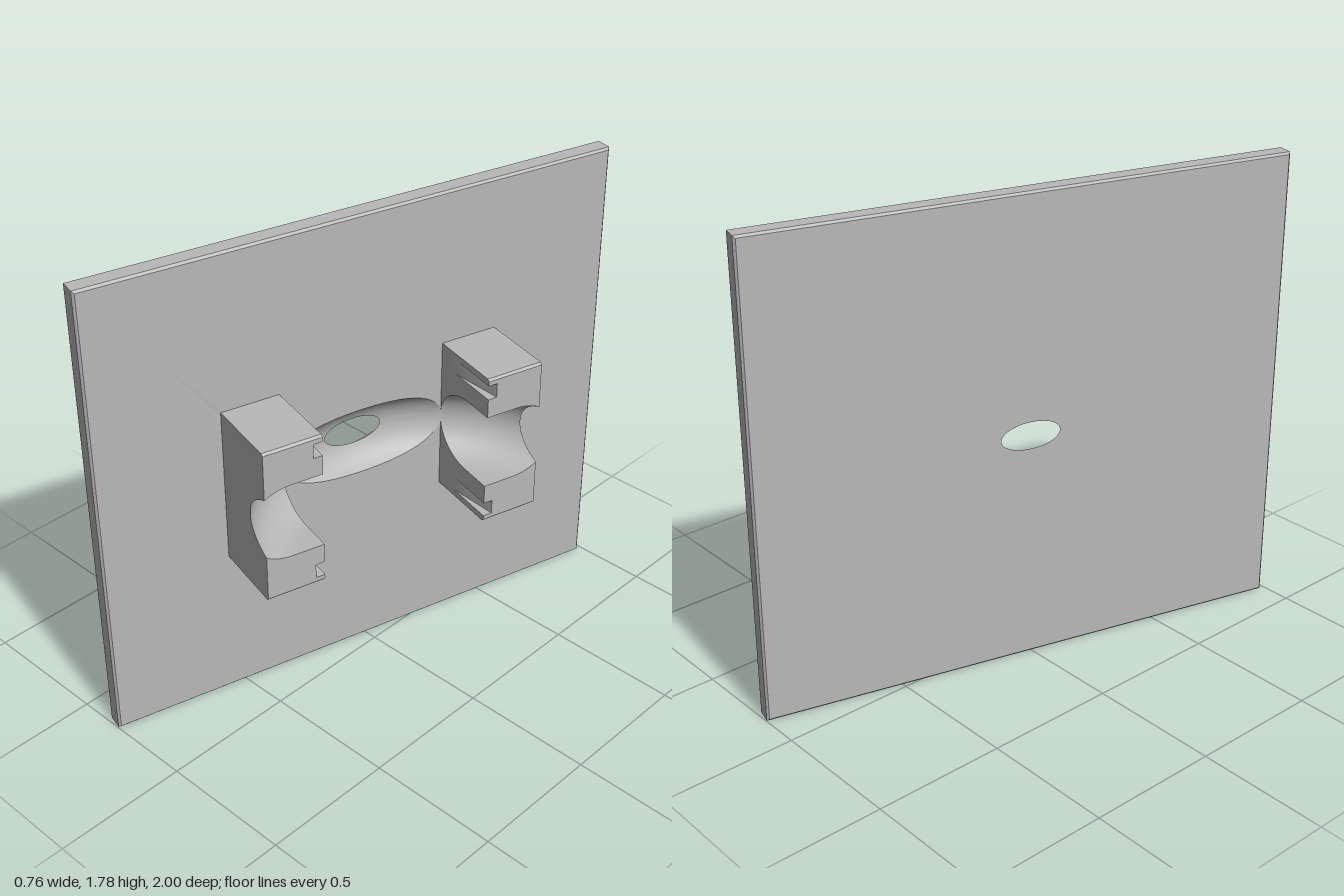
import * as THREE from 'three';
import { toCreasedNormals } from 'three/addons/utils/BufferGeometryUtils.js';

// Local frame: x = out of the plate, y = up, z = along the plate
const LENGTH = 2.05, HEIGHT = 1.78, HALF = 0.0375;  // plate
const TOP = 0.331, INNER = 0.33, OUTER = 0.553;     // clamp blocks
const R = 0.555, r = 0.145, S = R + r;              // round-rimmed wheel that shapes the channel
const AXIS = S - HALF - 0.0095;                     // wheel axis height above the plate centre

// Half width of the channel at height x and distance z
function halfWidth(x, z) {
  const d = Math.hypot(z, AXIS - x) - R;
  return d <= 0 ? r : Math.sqrt(Math.max(0, r * r - d * d));
}

const push = (out, ...points) => points.forEach((p) => out.push(p[0], p[1], p[2]));

// Quads between successive closed rings
function skin(out, rings) {
  for (let i = 0; i + 1 < rings.length; i++) {
    const n = rings[i].length;
    for (let j = 0; j < n; j++) {
      const k = (j + 1) % n;
      const a = rings[i][j], b = rings[i][k], c = rings[i + 1][k], d = rings[i + 1][j];
      push(out, a, b, c, a, c, d);
    }
  }
}

// Flat face filling a ring, with optional holes; u and v are the axes of its plane
function cap(out, ring, holes, u, v, flip) {
  const flat = (pts) => pts.map((p) => new THREE.Vector2(p[u], p[v]));
  const all = [ring, ...holes].flat();
  for (const [a, b, c] of THREE.ShapeUtils.triangulateShape(flat(ring), holes.map(flat))) {
    if (flip) push(out, all[a], all[c], all[b]);
    else push(out, all[a], all[b], all[c]);
  }
}

function toGeometry(out) {
  const g = new THREE.BufferGeometry();
  g.setAttribute('position', new THREE.Float32BufferAttribute(out, 3));
  return toCreasedNormals(g, 0.5);
}

// Plate with eased edges and a scooped hollow that breaks through the back
function plateGeometry() {
  const out = [], bevel = 0.008;
  const rect = (x, inset) => {
    const h = HEIGHT / 2 - inset, l = LENGTH / 2 - inset;
    return [[x, -h, -l], [x, h, -l], [x, h, l], [x, -h, l]];
  };
  const rim = [rect(-HALF, bevel), rect(-HALF + bevel, 0), rect(HALF - bevel, 0), rect(HALF, bevel)];
  skin(out, rim);

  const scoop = (x) => {
    const reach = Math.sqrt(S * S - (AXIS - x) ** 2);
    return Array.from({ length: 72 }, (_, i) => {
      const a = (i / 72) * Math.PI * 2, z = reach * Math.sin(a);
      return [x, Math.sign(Math.cos(a)) * halfWidth(x, z), z];
    });
  };
  const floor = AXIS - S, levels = 12;
  const s0 = Math.sqrt(HALF - floor), s1 = Math.sqrt(-HALF - floor);
  const rings = [];
  for (let i = 0; i <= levels; i++) {
    rings.push(scoop(floor + (s0 + ((s1 - s0) * i) / levels) ** 2));
  }
  skin(out, rings);
  cap(out, rim[3], [rings[0]], 1, 2, false);
  cap(out, rim[0], [rings[levels]], 1, 2, true);
  return toGeometry(out);
}

// Block with the curved channel and two wedge slots in its inner end
function blockGeometry() {
  const out = [], base = 0.03, h = 0.3, c = 0.008, steps = 14;
  const slotDepth = 0.035, slotFoot = 0.135;
  const section = (z) => {
    const slot = Math.min(TOP, slotFoot + ((TOP - slotFoot) * (z - INNER)) / slotDepth);
    const bottom = AXIS - Math.sqrt(S * S - z * z);
    const half = [[base, -h, z], [TOP - c, -h, z], [TOP, c - h, z],
      [TOP, -0.275, z], [slot, -0.275, z], [slot, -0.22, z], [TOP, -0.22, z]];
    for (let k = 0; k < steps; k++) {
      const x = bottom + (TOP - bottom) * (1 - Math.sin((k / steps) * Math.PI / 2));
      half.push([x, -halfWidth(x, z), z]);
    }
    const mirrored = half.map(([x, y]) => [x, -y, z]).reverse();
    return [...half, [bottom, 0, z], ...mirrored];
  };
  const stations = [INNER, INNER + slotDepth / 2];
  for (let i = 0; i <= 14; i++) {
    stations.push(INNER + slotDepth + ((OUTER - INNER - slotDepth) * i) / 14);
  }
  const rings = stations.map(section);
  skin(out, rings);
  cap(out, rings[0], [], 0, 1, true);
  cap(out, rings[rings.length - 1], [], 0, 1, false);
  return toGeometry(out);
}

export function createModel() {
  const model = new THREE.Group();
  model.name = 'clampPlate';
  const grey = new THREE.MeshStandardMaterial({ color: 0xb8b8b8 });
  grey.name = 'grey';

  const plate = new THREE.Mesh(plateGeometry(), grey);
  plate.name = 'plate';

  const block = blockGeometry();
  const frontBlock = new THREE.Mesh(block, grey);
  frontBlock.name = 'frontBlock';
  const backBlock = new THREE.Mesh(block, grey);
  backBlock.name = 'backBlock';
  backBlock.rotation.x = Math.PI;

  // The whole assembly is turned about the vertical
  const assembly = new THREE.Group();
  assembly.name = 'assembly';
  assembly.add(plate, frontBlock, backBlock);
  assembly.position.set(-0.084, HEIGHT / 2, 0);
  assembly.rotation.y = -Math.PI / 12;
  model.add(assembly);
  return model;
}
